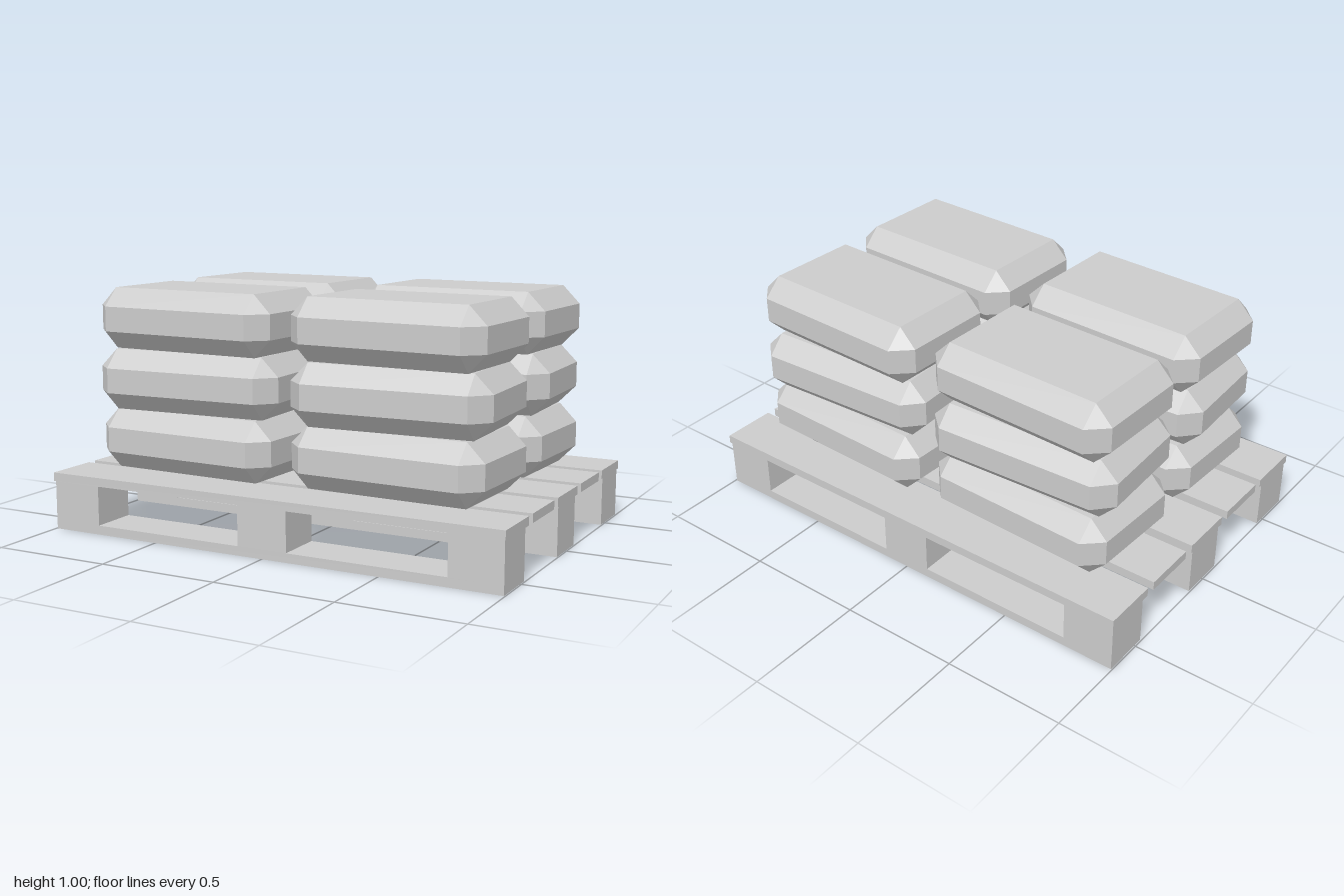
import * as THREE from 'three';
import { ConvexGeometry } from 'three/addons/geometries/ConvexGeometry.js';

const grey = new THREE.MeshStandardMaterial({ color: 0xcccccc });
grey.name = 'plain grey';

function addBox(parent, name, size, pos) {
  const mesh = new THREE.Mesh(new THREE.BoxGeometry(...size), grey);
  mesh.name = name;
  mesh.position.set(...pos);
  parent.add(mesh);
}

// Box with every edge chamfered: three points at each corner
function chamferedBox(hx, hy, hz, c) {
  const points = [];
  for (const x of [-1, 1]) for (const y of [-1, 1]) for (const z of [-1, 1]) {
    points.push(
      new THREE.Vector3(x * hx, y * (hy - c), z * (hz - c)),
      new THREE.Vector3(x * (hx - c), y * hy, z * (hz - c)),
      new THREE.Vector3(x * (hx - c), y * (hy - c), z * hz));
  }
  return new ConvexGeometry(points);
}

export function createModel() {
  const model = new THREE.Group();
  model.name = 'loadedPallet';

  // Pallet: five deck boards on three rows of blocks and runners
  const pallet = new THREE.Group();
  pallet.name = 'pallet';
  model.add(pallet);
  for (const z of [-0.551, -0.277, 0, 0.277, 0.551]) {
    addBox(pallet, 'deckBoard', [2, 0.036, 0.233], [0, 0.222, z]);
  }
  for (const z of [-0.56, 0, 0.56]) {
    addBox(pallet, 'runner', [1.99, 0.038, 0.2], [0, 0.019, z]);
    for (const x of [-0.887, 0, 0.887]) {
      addBox(pallet, 'block', [0.217, 0.166, 0.2], [x, 0.121, z]);
    }
  }

  // Four stacks of three sacks, alternate layers twisted opposite ways
  const sackGeometry = chamferedBox(0.412, 0.125, 0.266, 0.074);
  const twists = [-2, 2.6, -2].map(THREE.MathUtils.degToRad);
  for (const x of [-0.45, 0.45]) for (const z of [-0.3, 0.3]) {
    const stack = new THREE.Group();
    stack.name = 'sackStack';
    stack.position.set(x, 0.254, z);
    twists.forEach((twist, layer) => {
      const sack = new THREE.Mesh(sackGeometry, grey);
      sack.name = 'sack';
      sack.position.y = 0.125 + layer * 0.25;
      sack.rotation.y = twist;
      stack.add(sack);
    });
    model.add(stack);
  }
  return model;
}
